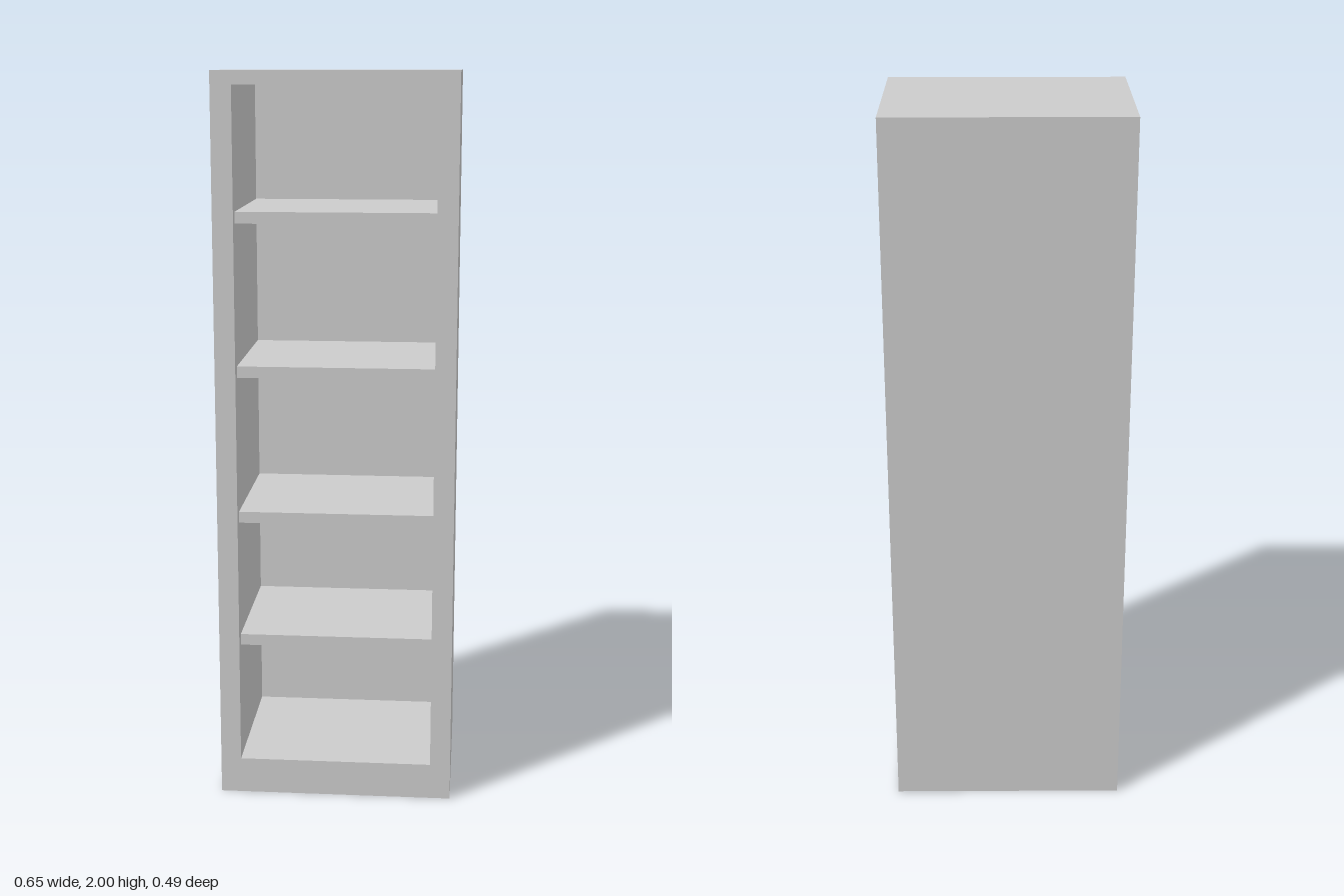
import * as THREE from 'three';

// Overall size, opening and panel thicknesses
const W = 0.646, H = 2, D = 0.49;
const OPEN_W = 0.534, OPEN_BOTTOM = 0.1, OPEN_TOP = 1.963;
const BACK = 0.035, RECESS = 0.03, SHELF = 0.031;
const SHELF_CENTRES = [0.445, 0.8, 1.206, 1.62];

function rectangle(target, x, y0, y1) {
  target.moveTo(-x, y0);
  target.lineTo(x, y0);
  target.lineTo(x, y1);
  target.lineTo(-x, y1);
  target.closePath();
  return target;
}

export function createModel() {
  const group = new THREE.Group();
  group.name = 'bookcase';
  const grey = new THREE.MeshStandardMaterial({ color: 0xcccccc });
  grey.name = 'light grey';

  const add = (name, geometry, x, y, z) => {
    const mesh = new THREE.Mesh(geometry, grey);
    mesh.name = name;
    mesh.position.set(x, y, z);
    group.add(mesh);
  };

  // Outer case: sides, top and base in one frame
  const frame = rectangle(new THREE.Shape(), W / 2, 0, H);
  frame.holes.push(rectangle(new THREE.Path(), OPEN_W / 2, OPEN_BOTTOM, OPEN_TOP));
  add('case', new THREE.ExtrudeGeometry(frame, { depth: D, bevelEnabled: false }), 0, 0, -D / 2);

  // Back panel closing the opening, flush with the rear
  add('backPanel', new THREE.BoxGeometry(OPEN_W, OPEN_TOP - OPEN_BOTTOM, BACK),
    0, (OPEN_TOP + OPEN_BOTTOM) / 2, -D / 2 + BACK / 2);

  // Shelves, set back slightly from the front edge
  const shelfDepth = D - BACK - RECESS;
  const shelf = new THREE.BoxGeometry(OPEN_W, SHELF, shelfDepth);
  SHELF_CENTRES.forEach((y, i) => add(`shelf${i + 1}`, shelf, 0, y, D / 2 - RECESS - shelfDepth / 2));

  return group;
}
